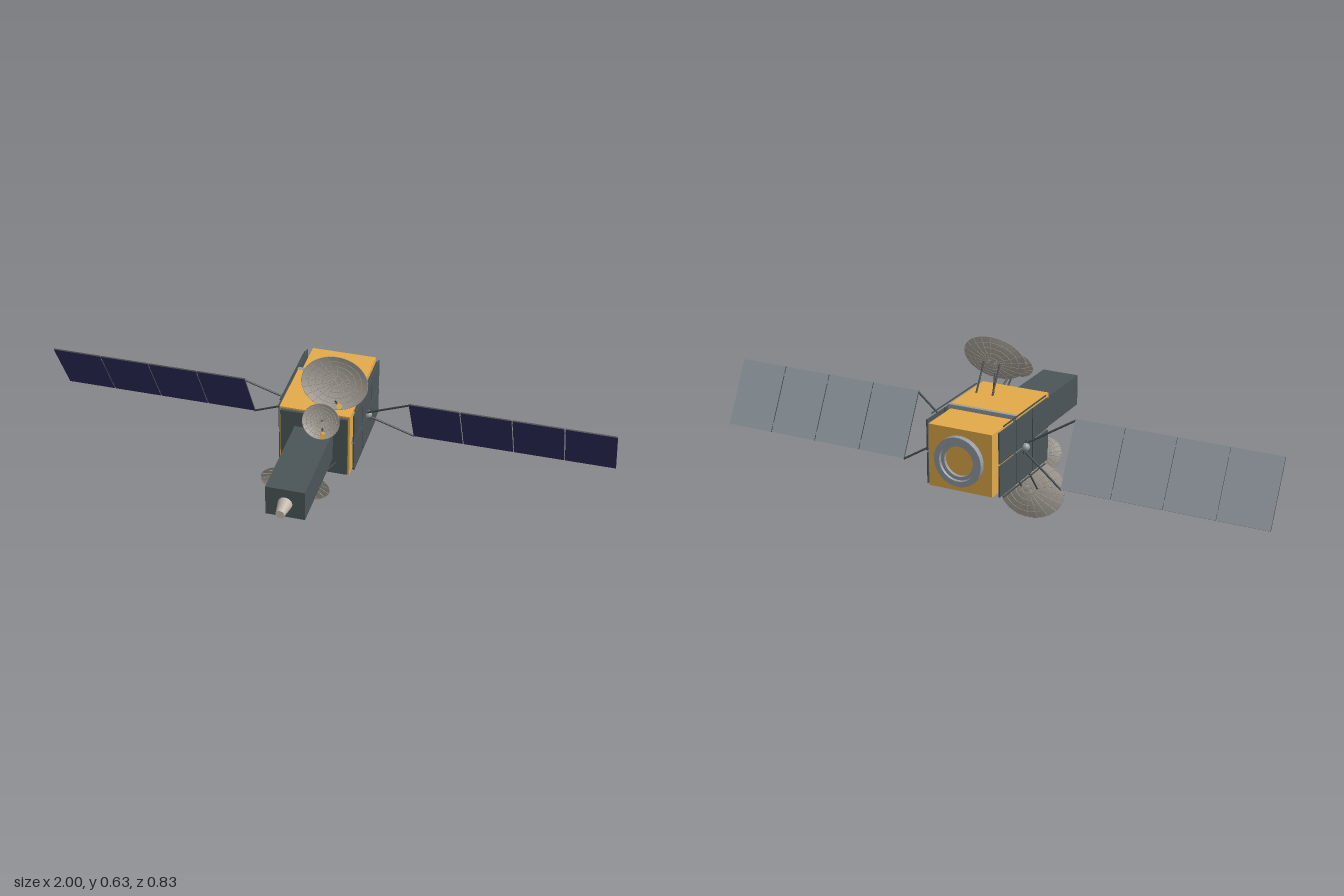
import * as THREE from 'three';
import { toCreasedNormals } from 'three/addons/utils/BufferGeometryUtils.js';

const mat = (name, color, side = THREE.FrontSide) => {
  const m = new THREE.MeshStandardMaterial({ color, side });
  m.name = name;
  return m;
};

export function createModel() {
  const gold = mat('gold foil', 0xe2aa49);
  const slate = mat('slate panel', 0x4b5558);
  const strut = mat('dark strut', 0x44494c);
  const grey = mat('grey metal', 0x949ca3);
  const navy = mat('navy solar cell', 0x2c2b5c);
  const beige = mat('beige nozzle', 0xc0b6ab);
  const mesh = mat('dish mesh', 0xa39d94, THREE.DoubleSide);

  const model = new THREE.Group();
  model.name = 'satellite';
  const CY = 0.322; // height of the long axis
  const V = (x, y, z) => new THREE.Vector3(x, y, z);

  const add = (name, geo, material, pos = [0, 0, 0], parent = model) => {
    const m = new THREE.Mesh(geo, material);
    m.name = name;
    m.position.set(...pos);
    parent.add(m);
    return m;
  };
  const box = (name, size, pos, material, parent) =>
    add(name, new THREE.BoxGeometry(...size), material, pos, parent);

  // Straight rod or cone between two points
  const rod = (name, a, b, r0, r1 = r0, material = strut) => {
    const d = b.clone().sub(a);
    const m = add(name, new THREE.CylinderGeometry(r1, r0, d.length(), 12), material);
    m.position.copy(a).add(b).multiplyScalar(0.5);
    m.quaternion.setFromUnitVectors(V(0, 1, 0), d.normalize());
  };

  // Body: wide front section, flange, narrower rear section
  box('frontBody', [0.246, 0.241, 0.232], [0, CY, -0.116], gold);
  box('rearBody', [0.23, 0.215, 0.152], [0, CY, -0.319], gold);
  box('bodyFlange', [0.25, 0.243, 0.013], [0, CY, -0.2385], grey);
  box('frontPlate', [0.234, 0.228, 0.012], [0, CY, 0.005], slate);

  // Thin rails along the four long edges
  for (const s of [-1, 1])
    for (const v of [-1, 1])
      box('bodyRail', [0.004, 0.003, 0.31], [s * 0.13, CY + v * 0.1225, -0.19], strut);

  // Side radiator panels over grey cross bars
  for (const s of [-1, 1]) {
    for (let c = 0; c < 3; c++)
      for (const v of [-1, 1])
        box('sidePanel', [0.005, 0.1075, 0.115], [s * 0.1305, CY + v * 0.0573, -0.0795 - c * 0.12], slate);
    box('sideBar', [0.004, 0.01, 0.236], [s * 0.126, CY, -0.14], grey);
    box('sideBar', [0.004, 0.22, 0.008], [s * 0.126, CY, -0.1395], grey);
  }

  // Instrument tube with nozzle and slanting brace below
  box('instrumentTube', [0.134, 0.11, 0.35], [0, CY + 0.001, 0.183], slate);
  rod('nozzle', V(0, CY, 0.358), V(0, CY, 0.418), 0.025, 0.015, beige);
  rod('brace', V(-0.03, 0.267, 0.345), V(0.08, 0.254, 0.005), 0.002);

  // Docking ring on the back
  const ringProfile = [[0.085, 0], [0.085, 0.02], [0.066, 0.02], [0.064, 0.012],
    [0.052, 0.012], [0.052, 0]].map(p => new THREE.Vector2(...p));
  const ringGeo = toCreasedNormals(new THREE.LatheGeometry(ringProfile, 48), 0.4);
  add('rearRing', ringGeo, grey, [0, CY, -0.395]).rotation.x = -Math.PI / 2;

  // Solar wings: four dark-edged panels each, tilted with the top edge forward
  const tilt = 0.49;
  for (const s of [-1, 1]) {
    const wing = new THREE.Group();
    wing.name = s > 0 ? 'leftWing' : 'rightWing';
    wing.position.set(0, CY + 0.003, -0.2);
    wing.rotation.x = tilt;
    model.add(wing);
    for (let i = 0; i < 4; i++)
      box('solarPanel', [0.1745, 0.234, 0.005], [s * (0.3785 + i * 0.178), 0, 0],
        [strut, strut, strut, strut, navy, grey], wing);
    for (let i = 1; i < 4; i++)
      for (const v of [-1, 1])
        box('hinge', [0.004, 0.012, 0.003], [s * (0.2895 + i * 0.178), v * 0.09, 0], grey, wing);

    // Pivot and forked yoke
    add('wingPivot', new THREE.SphereGeometry(0.014, 20, 14), grey, [s * 0.138, CY, -0.2]);
    const dy = Math.cos(tilt), dz = Math.sin(tilt);
    const onTilt = (x, t) => V(s * x, CY + t * dy, -0.2 + t * dz);
    for (const v of [-1, 1])
      rod('yokeArm', onTilt(0.138, v * 0.014), onTilt(0.292, v * 0.115), 0.0035);
    rod('yokeRoot', onTilt(0.138, -0.023), onTilt(0.138, 0.023), 0.005);
  }

  // Mesh dish: parabolic bowl with raised ribs and hoops, axis along local +y
  const dish = (name, pos, rx, ry, depth, lean) => {
    const g = new THREE.Group();
    g.name = name;
    g.position.set(...pos);
    g.rotation.x = Math.PI / 2 - lean;
    model.add(g);
    const at = (t, a) => V(rx * t * Math.cos(a), depth * (t * t - 1), ry * t * Math.sin(a));
    const profile = [];
    for (let i = 0; i <= 8; i++) profile.push(new THREE.Vector2(i / 8, depth * ((i / 8) ** 2 - 1)));
    const bowl = new THREE.LatheGeometry(profile, 40);
    bowl.scale(rx, 1, ry);
    bowl.computeVertexNormals();
    add('dishBowl', bowl, mesh, [0, 0, 0], g);
    const thick = 0.0012;
    for (let i = 0; i < 20; i++) {
      const a = i / 20 * Math.PI * 2;
      const rib = new THREE.CatmullRomCurve3([0.06, 0.4, 0.7, 1].map(t => at(t, a)));
      add('dishRib', new THREE.TubeGeometry(rib, 8, thick, 5), mesh, [0, 0, 0], g);
    }
    for (const t of [0.2, 0.4, 0.6, 0.8, 1]) {
      const pts = [];
      for (let i = 0; i < 24; i++) pts.push(at(t, i / 24 * Math.PI * 2));
      const hoop = new THREE.CatmullRomCurve3(pts, true);
      add('dishHoop', new THREE.TubeGeometry(hoop, 48, thick, 5, true), mesh, [0, 0, 0], g);
    }
  };

  // Feed horn on a boom
  const feed = (from, to) => {
    const dir = to.clone().sub(from).normalize();
    rod('feedBoom', from, to, 0.003);
    rod('feedHorn', to.clone().addScaledVector(dir, -0.004), to.clone().addScaledVector(dir, 0.024), 0.006, 0.01, gold);
  };

  // Upper antennas
  dish('upperLargeDish', [0.06, 0.547, -0.033], 0.114, 0.089, 0.024, 0.375);
  dish('upperSmallDish', [0.05, 0.483, 0.104], 0.063, 0.059, 0.016, 0.45);
  feed(V(0.03, 0.443, -0.105), V(0.09, 0.508, 0.032));
  feed(V(0.03, 0.435, 0.0), V(0.065, 0.461, 0.138));
  for (const d of [-0.03, 0.03])
    rod('upperLargeStrut', V(0.06 + d, 0.443, -0.112), V(0.06 + d, 0.536, -0.055), 0.003);
  rod('upperSmallStrut', V(0.05, 0.435, 0.005), V(0.05, 0.476, 0.09), 0.003);

  // Lower antennas
  dish('lowerLargeDish', [-0.08, 0.097, -0.034], 0.124, 0.098, 0.026, -0.345);
  dish('lowerSmallDish', [-0.058, 0.172, 0.099], 0.067, 0.063, 0.016, -0.5);
  feed(V(-0.05, 0.203, -0.105), V(-0.07, 0.141, 0.038));
  feed(V(-0.04, 0.212, 0.005), V(-0.055, 0.192, 0.138));
  for (const d of [-0.03, 0.03])
    rod('lowerLargeStrut', V(-0.07 + d, 0.203, -0.112), V(-0.08 + d, 0.11, -0.055), 0.003);
  rod('lowerSmallStrut', V(-0.058, 0.212, 0.005), V(-0.058, 0.18, 0.087), 0.003);

  return model;
}
